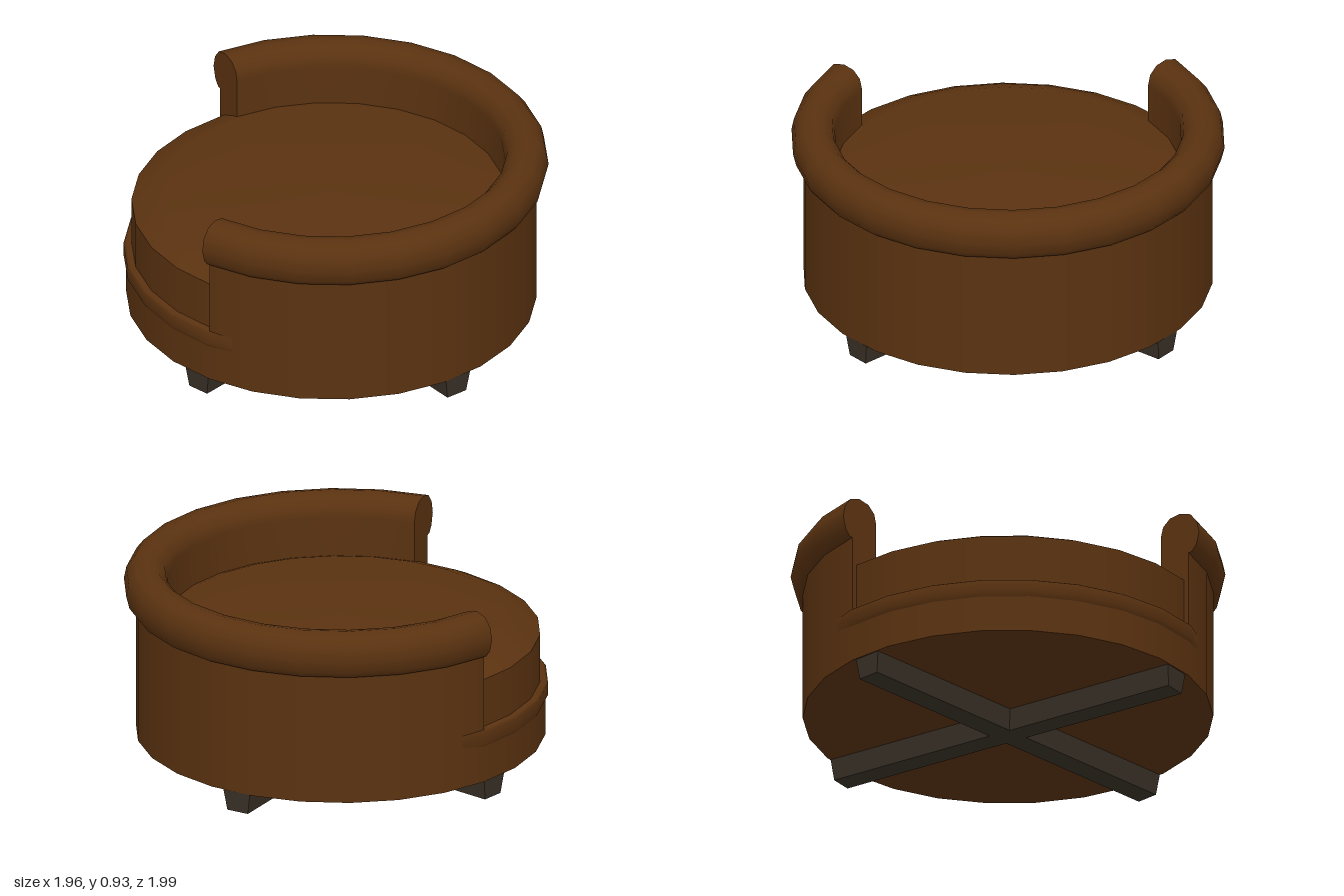
import * as THREE from 'three';

const SIDES = 26, STEP = (Math.PI * 2) / SIDES;

export function createModel() {
  const model = new THREE.Group();
  model.name = 'roundLoungeChair';

  const fabric = new THREE.MeshStandardMaterial({ color: 0x5a3210 });
  fabric.name = 'brown fabric';
  const wood = new THREE.MeshStandardMaterial({ color: 0x3a3127 });
  wood.name = 'dark wood';

  const body = new THREE.Group();
  body.name = 'body';
  body.position.x = -0.02;
  model.add(body);

  const add = (parent, name, geometry, material) => {
    const mesh = new THREE.Mesh(geometry, material);
    mesh.name = name;
    parent.add(mesh);
    return mesh;
  };
  const points = (list) => list.map(([r, y]) => new THREE.Vector2(r, y));
  // Revolve a profile; step 0 points to +x, the open side is at step 13 (-x)
  const turn = (name, profile, from = 0, steps = SIDES) =>
    add(body, name, new THREE.LatheGeometry(points(profile), steps, Math.PI / 2 + from * STEP, steps * STEP), fabric);

  // Base: underside and the low front wall under the seat opening
  turn('underside', [[0, 0.1], [0.945, 0.1]]);
  turn('frontBase', [[0.945, 0.1], [0.945, 0.3]], 9, 8);

  // Bulging front band that fades into the backrest wall at both ends
  const band = turn('frontBand', [[0.943, 0.27], [0.957, 0.295], [0.957, 0.35], [0.945, 0.357], [0.9, 0.36]], 8, 10);
  const pos = band.geometry.attributes.position;
  for (let i = 0; i < pos.count; i++) {
    const ring = Math.floor(i / 5);
    if (ring === 0 || ring === 10) {
      const r = Math.hypot(pos.getX(i), pos.getZ(i));
      const k = Math.min(1, 0.935 / r);
      pos.setXYZ(i, pos.getX(i) * k, pos.getY(i), pos.getZ(i) * k);
    }
  }
  band.geometry.computeVertexNormals();

  // Seat cushion with a softly domed top
  turn('cushionSide', [[0.92, 0.35], [0.92, 0.59]]);
  turn('cushionTop', [[0.92, 0.59], [0.85, 0.625], [0.765, 0.655], [0.55, 0.672], [0.25, 0.687], [0, 0.69]]);

  // Curved backrest: outer wall, rolled rim and inner face
  const roll = [
    [0.945, 0.722], [0.962, 0.725], [0.985, 0.755], [1.0, 0.815], [0.988, 0.872],
    [0.955, 0.915], [0.9, 0.93], [0.848, 0.917], [0.812, 0.88], [0.8, 0.83], [0.8, 0.45],
  ];
  turn('backrestWall', [[0.945, 0.1], [0.945, 0.722]], -9, 18);
  turn('backrestRoll', roll, -9, 18);

  // Flat faces closing both ends of the backrest
  const section = [[0.8, 0.1], [0.945, 0.1], ...roll];
  for (const side of [-1, 1]) {
    const shape = new THREE.Shape(points(section.map(([r, y]) => [-side * r, y])));
    const cap = new THREE.ShapeGeometry(shape);
    cap.rotateY(side * 9 * STEP + (side > 0 ? Math.PI : 0));
    add(body, side < 0 ? 'backrestEndFront' : 'backrestEndBack', cap, fabric);
  }

  // Crossed tapered runners beneath the base
  const feet = new THREE.Group();
  feet.name = 'feet';
  feet.position.x = -0.015;
  model.add(feet);
  for (const side of [-1, 1]) {
    const beam = new THREE.BoxGeometry(1.87, 0.1, 0.14);
    const p = beam.attributes.position;
    for (let i = 0; i < p.count; i++) {
      if (p.getY(i) < 0) {
        p.setX(i, p.getX(i) * 0.99);
        p.setZ(i, p.getZ(i) * 0.78);
      }
    }
    beam.computeVertexNormals();
    const mesh = add(feet, 'crossRunner', beam, wood);
    mesh.position.y = 0.05;
    mesh.rotation.y = side * THREE.MathUtils.degToRad(50);
  }
  return model;
}
